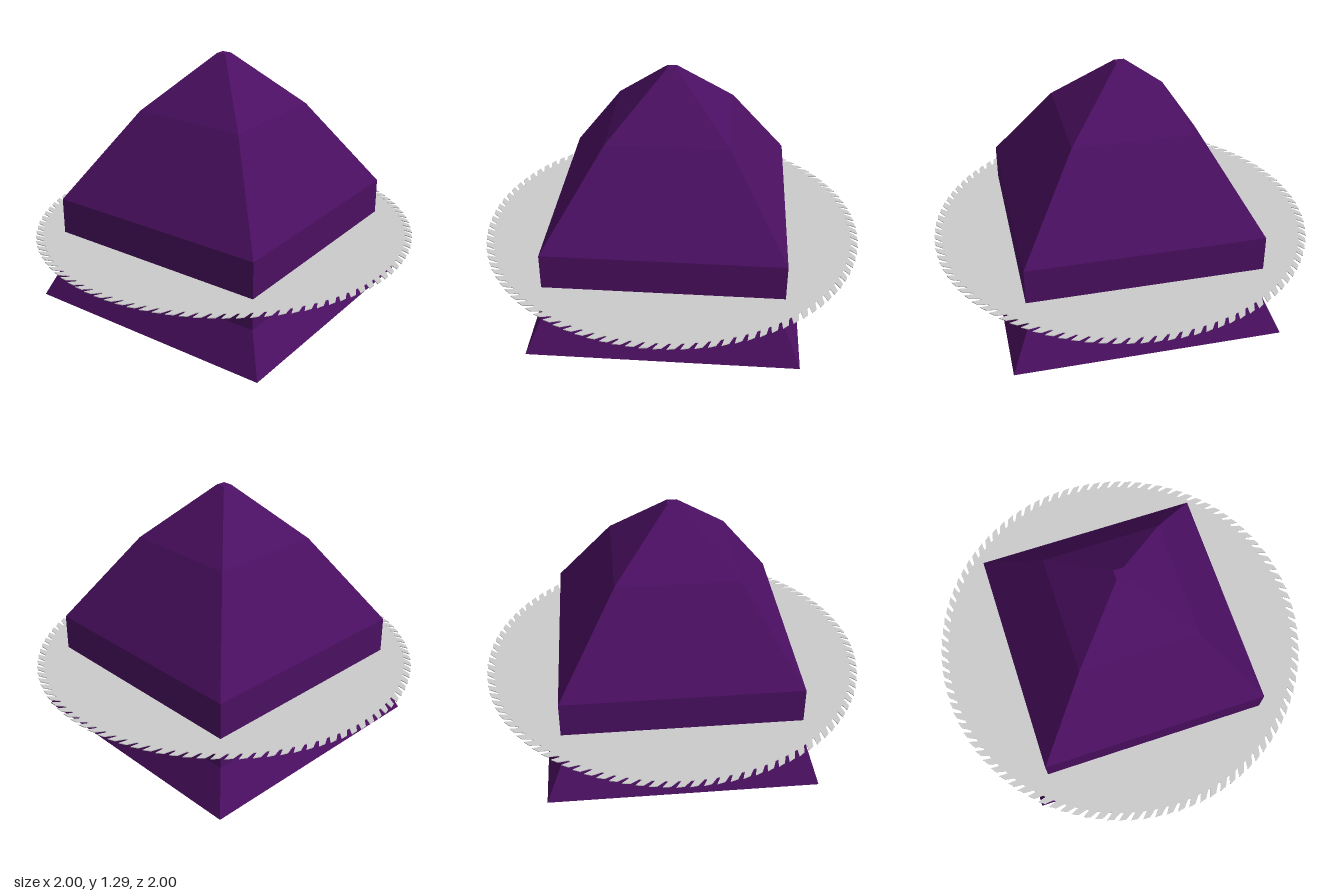
import * as THREE from 'three';

export function createModel() {
  const model = new THREE.Group();

  // Four-sided body: flared skirt, straight wall, two-pitch roof, small flat cap
  const profile = [[0, 0], [0.69, 0], [0.6, 0.2], [0.6, 0.55], [0.305, 1.01], [0.025, 1.295], [0, 1.295]]
    .map(([half, y]) => new THREE.Vector2(half * Math.SQRT2, y));
  const bodyGeometry = new THREE.LatheGeometry(profile, 4, Math.PI / 4).toNonIndexed();
  bodyGeometry.computeVertexNormals();
  const body = new THREE.Mesh(
    bodyGeometry,
    new THREE.MeshStandardMaterial({ color: 0x4b0f62, flatShading: true })
  );
  body.name = 'body';
  model.add(body);

  // Thin circular saw blade with raked teeth around the wall
  const teeth = 100;
  const pitch = (Math.PI * 2) / teeth;
  const thickness = 0.004;
  const tooth = [[0.96, 0], [0.995, 0.55], [1, 1.15], [0.96, 0.75]]; // radius, share of pitch
  const outline = [];
  for (let i = 0; i < teeth; i++) {
    for (const [r, t] of tooth) {
      const a = -(i + t) * pitch;
      outline.push(new THREE.Vector2(r * Math.cos(a), r * Math.sin(a)));
    }
  }
  const bladeGeometry = new THREE.ExtrudeGeometry(new THREE.Shape(outline), {
    depth: thickness, bevelEnabled: false,
  });
  bladeGeometry.rotateX(-Math.PI / 2);
  const blade = new THREE.Mesh(
    bladeGeometry,
    new THREE.MeshStandardMaterial({ color: 0xcccccc, flatShading: true })
  );
  blade.name = 'sawBlade';
  blade.position.y = 0.36 - thickness / 2;
  model.add(blade);

  return model;
}
